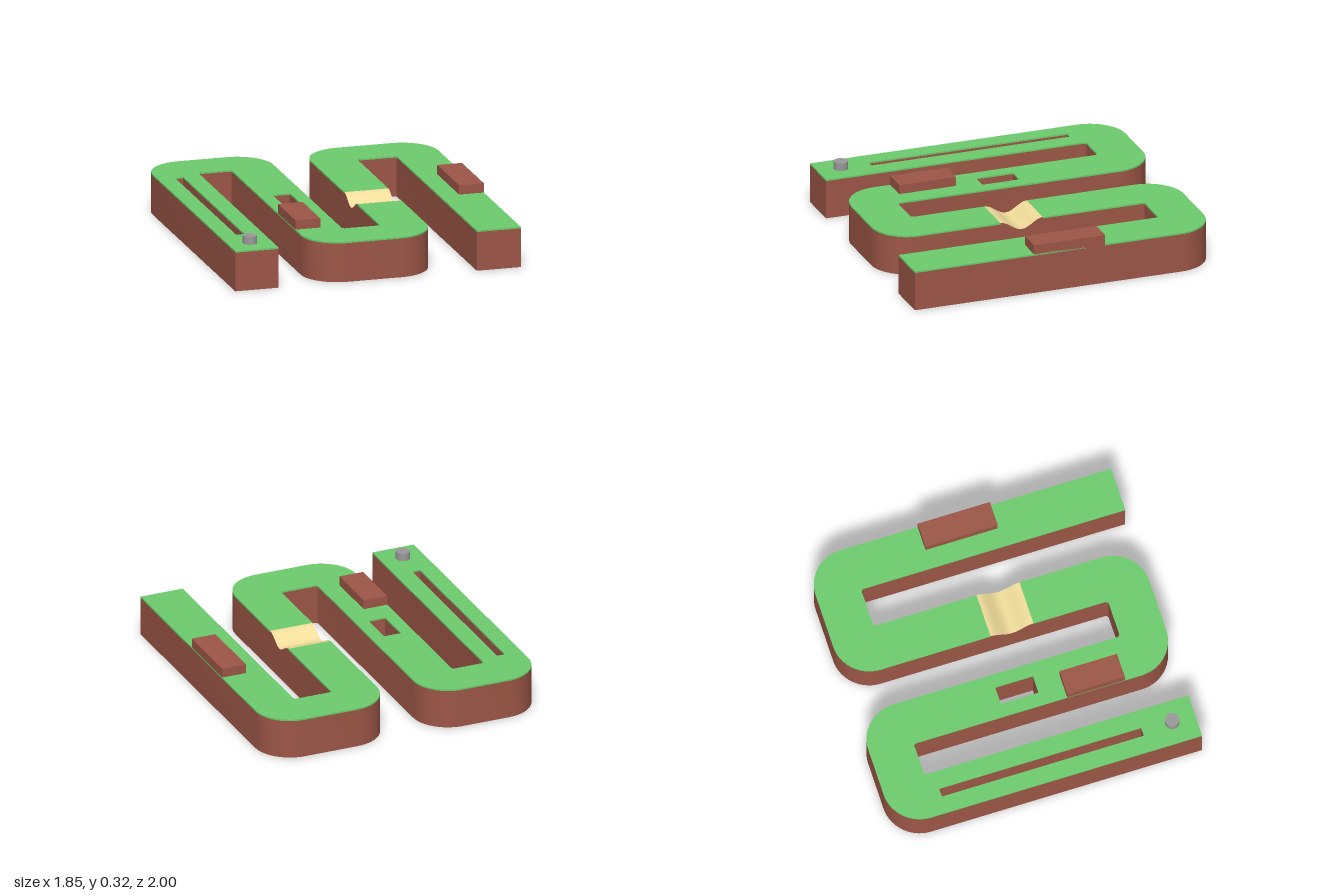
import * as THREE from 'three';
import { toCreasedNormals } from 'three/addons/utils/BufferGeometryUtils.js';

const BROWN = new THREE.MeshStandardMaterial({ color: 0x9c5646 });
const GREEN = new THREE.MeshStandardMaterial({ color: 0x6ccb6c });
const SAND = new THREE.MeshStandardMaterial({ color: 0xf0dc9a, side: THREE.DoubleSide });
const GREY = new THREE.MeshStandardMaterial({ color: 0x999999 });

const TURF = 0.25, TOP = 0.26;        // underside and top of the turf
const DIP0 = -0.05, DIP1 = 0.23, DIP_DEPTH = 0.06;
const LANE0 = 0.1, LANE1 = 0.385;     // third lane, holding the sand dip
const R = 0.235, r = 0.02;            // outer and inner bend radii

// Plan outline from [x, z, cornerRadius] points with right-angled corners
function plan(points) {
  const shape = new THREE.Shape();
  const n = points.length;
  const v = points.map(([x, z]) => new THREE.Vector2(x, -z));
  points.forEach(([, , rad = 0], i) => {
    const p = v[i];
    const toward = (q, d) => p.clone().add(q.clone().sub(p).normalize().multiplyScalar(d));
    const prev = v[(i + n - 1) % n], next = v[(i + 1) % n];
    const a = toward(prev, rad), b = toward(next, rad);
    if (i === 0) shape.moveTo(a.x, a.y); else shape.lineTo(a.x, a.y);
    if (rad > 0) {
      const c = toward(prev, rad * 0.448), d = toward(next, rad * 0.448);
      shape.bezierCurveTo(c.x, c.y, d.x, d.y, b.x, b.y);
    }
  });
  return shape;
}

const rect = (x0, x1, z0, z1) => plan([[x0, z1], [x1, z1], [x1, z0], [x0, z0]]);

// Upright slab from a plan between two heights
function slab(name, shape, y0, y1, material) {
  let geo = new THREE.ExtrudeGeometry(shape, { depth: y1 - y0, bevelEnabled: false, curveSegments: 14 });
  geo.rotateX(-Math.PI / 2).translate(0, y0, 0);
  geo = toCreasedNormals(geo, 0.6);
  const mesh = new THREE.Mesh(geo, material);
  mesh.name = name;
  return mesh;
}

function box(name, x0, x1, y0, y1, z0, z1, material) {
  const mesh = new THREE.Mesh(new THREE.BoxGeometry(x1 - x0, y1 - y0, z1 - z0), material);
  mesh.position.set((x0 + x1) / 2, (y0 + y1) / 2, (z0 + z1) / 2);
  mesh.name = name;
  return mesh;
}

// Lane section with a smooth hollow across its full width
function sandDip() {
  const group = new THREE.Group();
  group.name = 'sandDip';
  const steps = 24, width = LANE1 - LANE0;
  const curve = [];
  for (let i = 0; i <= steps; i++) {
    const t = i / steps;
    const y = TOP - DIP_DEPTH * (1 - Math.cos(2 * Math.PI * t)) / 2;
    curve.push([DIP0 + (DIP1 - DIP0) * t, y]);
  }
  // Brown base, its profile drawn in z and y and extruded along x
  const profile = new THREE.Shape();
  profile.moveTo(-DIP0, 0);
  curve.forEach(([z, y]) => profile.lineTo(-z, y - 0.004));
  profile.lineTo(-DIP1, 0);
  const base = new THREE.ExtrudeGeometry(profile, { depth: width, bevelEnabled: false });
  base.rotateY(Math.PI / 2).translate(LANE0, 0, 0);
  // Turn the profile axis to the lane direction: shape x is -z
  const baseMesh = new THREE.Mesh(base, BROWN);
  baseMesh.name = 'dipBase';
  // Sand sheet following the hollow
  const sheet = new THREE.PlaneGeometry(width, 1, 1, steps).rotateX(-Math.PI / 2);
  const pos = sheet.attributes.position;
  for (let i = 0; i < pos.count; i++) {
    const [z, y] = curve[Math.floor(i / 2)];
    pos.setXYZ(i, i % 2 ? LANE1 : LANE0, y, z);
  }
  sheet.computeVertexNormals();
  const sand = new THREE.Mesh(sheet, SAND);
  sand.name = 'sand';
  group.add(baseMesh, sand);
  return group;
}

export function createModel() {
  const model = new THREE.Group();
  model.name = 'windingCourse';

  // First half: lanes one and two, front bend, lane three up to the dip
  const firstHalf = plan([
    [-0.925, 1], [-0.645, 1], [-0.645, -0.72, r], [-0.43, -0.72, r], [-0.43, 1, R],
    [LANE1, 1, R], [LANE1, DIP1], [LANE0, DIP1], [LANE0, 0.715, r], [-0.145, 0.715, r],
    [-0.145, -1, R], [-0.925, -1, R],
  ]);
  firstHalf.holes.push(rect(-0.815, -0.76, -0.66, 0.655), rect(-0.345, -0.23, -0.125, 0.12));

  // Second half: lane three behind the dip, back bend, lane four
  const secondHalf = plan([
    [LANE0, DIP0], [LANE1, DIP0], [LANE1, -0.72, r], [0.64, -0.72, r],
    [0.64, 1], [0.925, 1], [0.925, -1, R], [LANE0, -1, R],
  ]);

  [['first', firstHalf], ['second', secondHalf]].forEach(([label, shape]) => {
    model.add(slab(label + 'Base', shape, 0, TURF, BROWN));
    model.add(slab(label + 'Turf', shape, TURF, TOP, GREEN));
  });
  model.add(sandDip());

  // Raised obstacles on lanes two and four
  model.add(box('leftObstacle', 0.765, 0.925, TURF, 0.32, -0.26, 0.21, BROWN));
  model.add(box('rightObstacle', -0.43, -0.27, TURF, 0.32, 0.28, 0.655, BROWN));

  // Starting peg
  const peg = new THREE.Mesh(new THREE.CylinderGeometry(0.045, 0.045, 0.06, 32), GREY);
  peg.position.set(-0.785, 0.28, 0.85);
  peg.name = 'peg';
  model.add(peg);

  return model;
}
